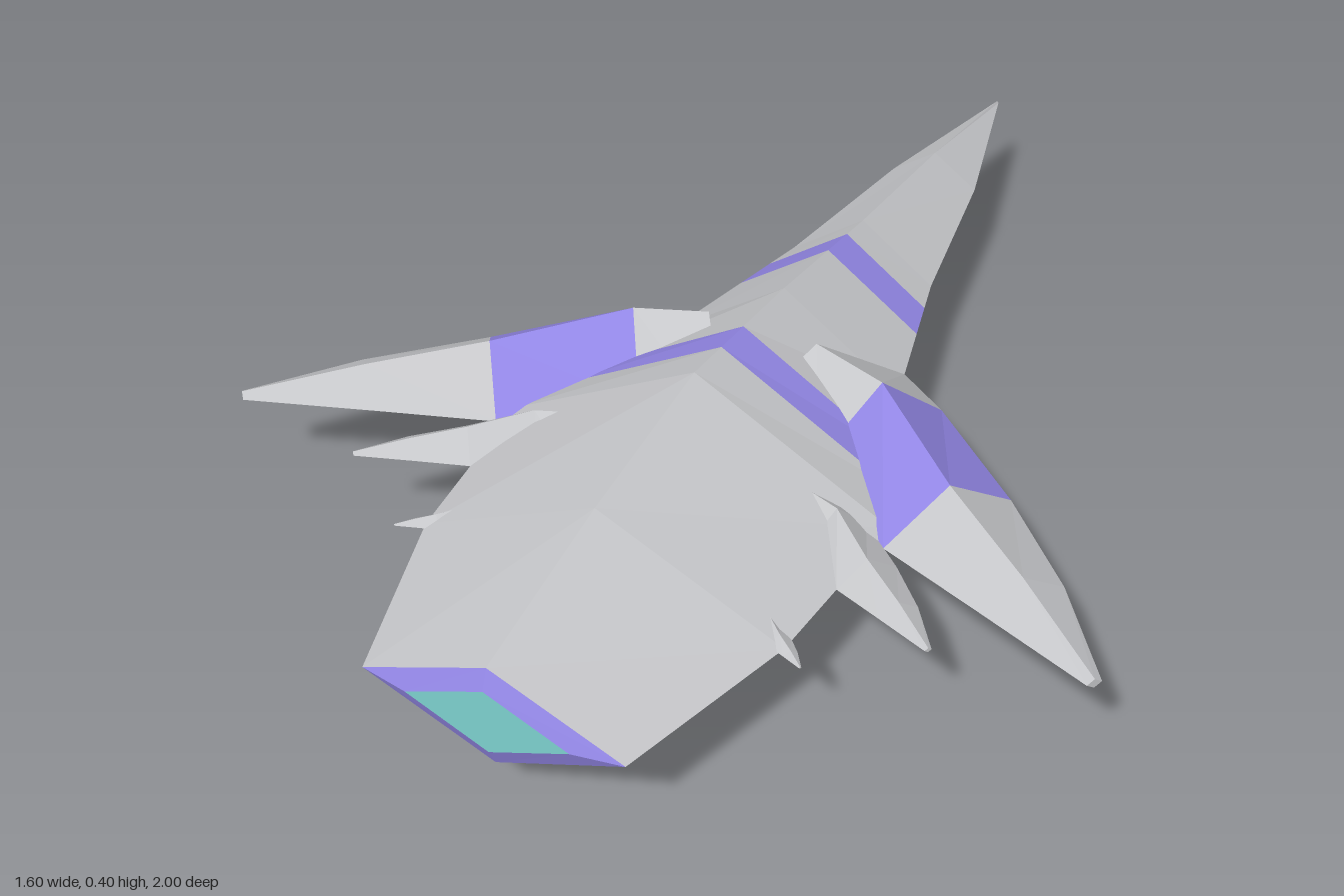
import * as THREE from 'three';

const mat = (name, color) => {
  const m = new THREE.MeshStandardMaterial({ color, flatShading: true });
  m.name = name;
  return m;
};

// Skin between four-cornered rings, with optional end caps
function loft(rings, capStart = false, capEnd = false) {
  const pos = [];
  const tri = (...pts) => pts.forEach((p) => pos.push(...p));
  const quad = (a, b, c, d) => { tri(a, b, c); tri(a, c, d); };
  for (let i = 0; i < rings.length - 1; i++) {
    for (let j = 0; j < 4; j++) {
      const k = (j + 1) % 4;
      quad(rings[i][j], rings[i][k], rings[i + 1][k], rings[i + 1][j]);
    }
  }
  if (capStart) quad(...[...rings[0]].reverse());
  if (capEnd) quad(...rings[rings.length - 1]);
  const g = new THREE.BufferGeometry();
  g.setAttribute('position', new THREE.Float32BufferAttribute(pos, 3));
  g.computeVertexNormals();
  return g;
}

const MID_Y = 0.2;

// Hull stations: z, half width, half height
const HULL = [
  [-1, 0.003, 0.004], [-0.67, 0.088, 0.062], [-0.33, 0.143, 0.105], [0, 0.225, 0.16],
  [0.33, 0.36, 0.2], [0.66, 0.33, 0.16], [0.985, 0.232, 0.1],
];

const diamond = ([z, w, h]) => [[w, MID_Y, z], [0, MID_Y + h, z], [-w, MID_Y, z], [0, MID_Y - h, z]];

function hullAt(z) {
  const i = Math.max(1, HULL.findIndex((s) => s[0] >= z));
  const a = HULL[i - 1], b = HULL[i];
  const t = (z - a[0]) / (b[0] - a[0]);
  return a.map((v, k) => v + (b[k] - v) * t);
}

function hullRings(z0, z1) {
  const inner = HULL.filter((s) => s[0] > z0 && s[0] < z1);
  return [hullAt(z0), ...inner, hullAt(z1)].map(diamond);
}

// Blade stations: leading edge x,z, trailing edge x,z, centre y, half height
const BLADE = [
  [0.21, -0.06, 0.0, 0.23, 0.2, 0.13],
  [0.31, 0.005, 0.175, 0.22, 0.2, 0.112],
  [0.51, 0.175, 0.37, 0.38, 0.2, 0.083],
  [0.67, 0.345, 0.57, 0.46, 0.21, 0.046],
  [0.8, 0.525, 0.783, 0.545, 0.219, 0.009],
];
const ROOT = [0.105, 0.085];

// Rings of one blade, scaled about its root and moved to x, z
function bladeRings(side, x, z, s, sy) {
  return BLADE.map(([lx, lz, tx, tz, cy, h]) => {
    const put = (px, py, pz) => [
      side * (x + (px - ROOT[0]) * s), MID_Y + (py - MID_Y) * sy, z + (pz - ROOT[1]) * s,
    ];
    const mx = (lx + tx) / 2, mz = (lz + tz) / 2;
    const ring = [put(lx, cy, lz), put(mx, cy + h, mz), put(tx, cy, tz), put(mx, cy - h, mz)];
    return side > 0 ? ring : ring.reverse();
  });
}

export function createModel() {
  const grey = mat('hull grey', 0xc6c7ca);
  const violet = mat('stripe violet', 0x9488e8);
  const teal = mat('glow teal', 0x7cd0ce);
  const model = new THREE.Group();
  model.name = 'spacecraft';
  const add = (name, geometry, material, parent = model) => {
    const m = new THREE.Mesh(geometry, material);
    m.name = name;
    parent.add(m);
  };

  // Hull with two painted bands
  const hull = new THREE.Group();
  hull.name = 'hull';
  model.add(hull);
  add('tailSpike', loft(hullRings(-1, -0.26), true), grey, hull);
  add('tailBand', loft(hullRings(-0.26, -0.18)), violet, hull);
  add('hullMiddle', loft(hullRings(-0.18, 0.155)), grey, hull);
  add('middleBand', loft(hullRings(0.155, 0.235)), violet, hull);
  add('hullFront', loft(hullRings(0.235, 0.985)), grey, hull);

  // Bevelled front frame around the glowing panel
  const rim = diamond(HULL[HULL.length - 1]);
  const panel = diamond([1, 0.145, 0.064]);
  add('frontFrame', loft([rim, panel]), violet, hull);
  add('frontPanel', loft([panel], false, true), teal, hull);

  for (const side of [1, -1]) {
    const label = side > 0 ? 'left' : 'right';

    // Swept wing with a painted middle section
    const wing = new THREE.Group();
    wing.name = label + 'Wing';
    model.add(wing);
    const r = bladeRings(side, ROOT[0], ROOT[1], 1, 1);
    add('wingRoot', loft(r.slice(0, 2), true), grey, wing);
    add('wingStripe', loft(r.slice(1, 3)), violet, wing);
    add('wingTip', loft(r.slice(2), false, true), grey, wing);

    // Smaller fins of the same shape
    add(label + 'MiddleFin', loft(bladeRings(side, 0.225, 0.37, 0.45, 0.5), true, true), grey);
    add(label + 'SmallFin', loft(bladeRings(side, 0.262, 0.618, 0.16, 0.2), true, true), grey);
  }
  return model;
}
